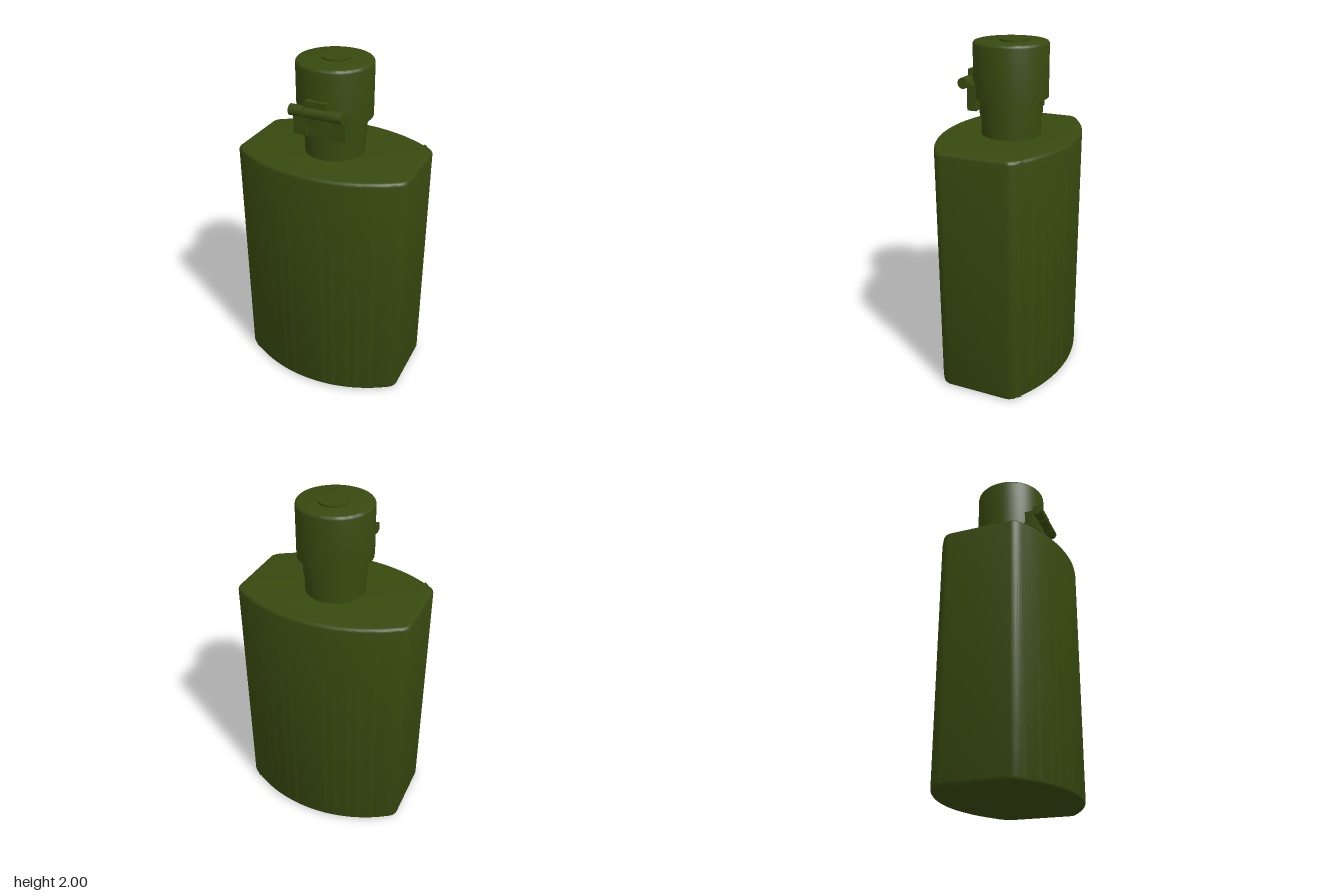
import * as THREE from 'three';
import { toCreasedNormals } from 'three/addons/utils/BufferGeometryUtils.js';

export function createModel() {
  const root = new THREE.Group();
  const olive = new THREE.MeshStandardMaterial({ color: 0x38490f });
  olive.name = 'olive green';

  function add(name, geometry, x = 0, y = 0, z = 0, parent = root) {
    const mesh = new THREE.Mesh(geometry, olive);
    mesh.name = name;
    mesh.position.set(x, y, z);
    parent.add(mesh);
    return mesh;
  }
  function lathe(points, segments = 64) {
    const profile = points.map(([r, y]) => new THREE.Vector2(r, y));
    return toCreasedNormals(new THREE.LatheGeometry(profile, segments), 0.6);
  }

  // Body: bowed front and back, flat sides, softened edges
  const R = 0.849, cz = -0.462, half = 0.587;
  const outline = new THREE.Shape();
  outline.moveTo(0.515, -0.18);
  outline.lineTo(0.515, 0.18);
  outline.quadraticCurveTo(0.515, 0.22, 0.47, 0.245);
  outline.absarc(0, cz, R, Math.PI / 2 - half, Math.PI / 2 + half, false);
  outline.quadraticCurveTo(-0.515, 0.22, -0.515, 0.18);
  outline.lineTo(-0.515, -0.18);
  outline.quadraticCurveTo(-0.515, -0.22, -0.47, -0.245);
  outline.absarc(0, -cz, R, -Math.PI / 2 - half, -Math.PI / 2 + half, false);
  outline.quadraticCurveTo(0.515, -0.22, 0.515, -0.18);
  const bevel = 0.02;
  const body = new THREE.ExtrudeGeometry(outline, {
    depth: 1.465 - 2 * bevel, bevelEnabled: true, bevelThickness: bevel,
    bevelSize: bevel, bevelOffset: -bevel, bevelSegments: 4, curveSegments: 24,
  });
  body.rotateX(-Math.PI / 2);
  add('body', toCreasedNormals(body, 0.6), 0, bevel, 0);

  // Neck with a slightly wider collar
  add('neck', lathe([[0.172, 1.45], [0.172, 1.60]]));
  add('collar', lathe([[0.165, 1.575], [0.18, 1.575], [0.18, 1.72], [0, 1.72]]));

  // Cap: hollow underside and rounded top rim
  add('cap', lathe([
    [0, 1.72], [0.197, 1.72], [0.197, 1.68], [0.213, 1.68], [0.213, 1.972],
    [0.211, 1.981], [0.206, 1.987], [0.197, 1.99], [0, 1.99],
  ]));
  add('capButton', lathe([[0.082, 1.985], [0.082, 2.0], [0, 2.0]]), 0, 0, -0.02);

  // Hinge: lower leaf with a recessed middle, upper tab and barrel
  const hinge = new THREE.Group();
  hinge.name = 'hinge';
  root.add(hinge);
  for (const s of [-1, 1]) {
    add('lowerLeafSide', new THREE.BoxGeometry(0.08, 0.15, 0.055), s * 0.113, 1.685, 0.1755, hinge);
  }
  add('lowerLeafBridge', new THREE.BoxGeometry(0.146, 0.085, 0.055), 0, 1.7175, 0.1755, hinge);
  add('lowerLeafRecess', new THREE.BoxGeometry(0.146, 0.065, 0.04), 0, 1.6425, 0.17, hinge);
  add('upperTab', new THREE.BoxGeometry(0.125, 0.095, 0.04), 0, 1.777, 0.219, hinge);
  for (const [x, length] of [[-0.112, 0.083], [0, 0.126], [0.112, 0.083]]) {
    const barrel = new THREE.CylinderGeometry(0.031, 0.031, length, 24);
    barrel.rotateZ(Math.PI / 2);
    add('hingeBarrel', barrel, x, 1.76, 0.229, hinge);
  }
  const pin = new THREE.CylinderGeometry(0.018, 0.018, 0.29, 16);
  pin.rotateZ(Math.PI / 2);
  add('hingePin', pin, 0, 1.76, 0.229, hinge);

  // Small catch at the back of the collar
  add('catch', new THREE.BoxGeometry(0.05, 0.04, 0.025), 0, 1.66, -0.18);

  return root;
}
